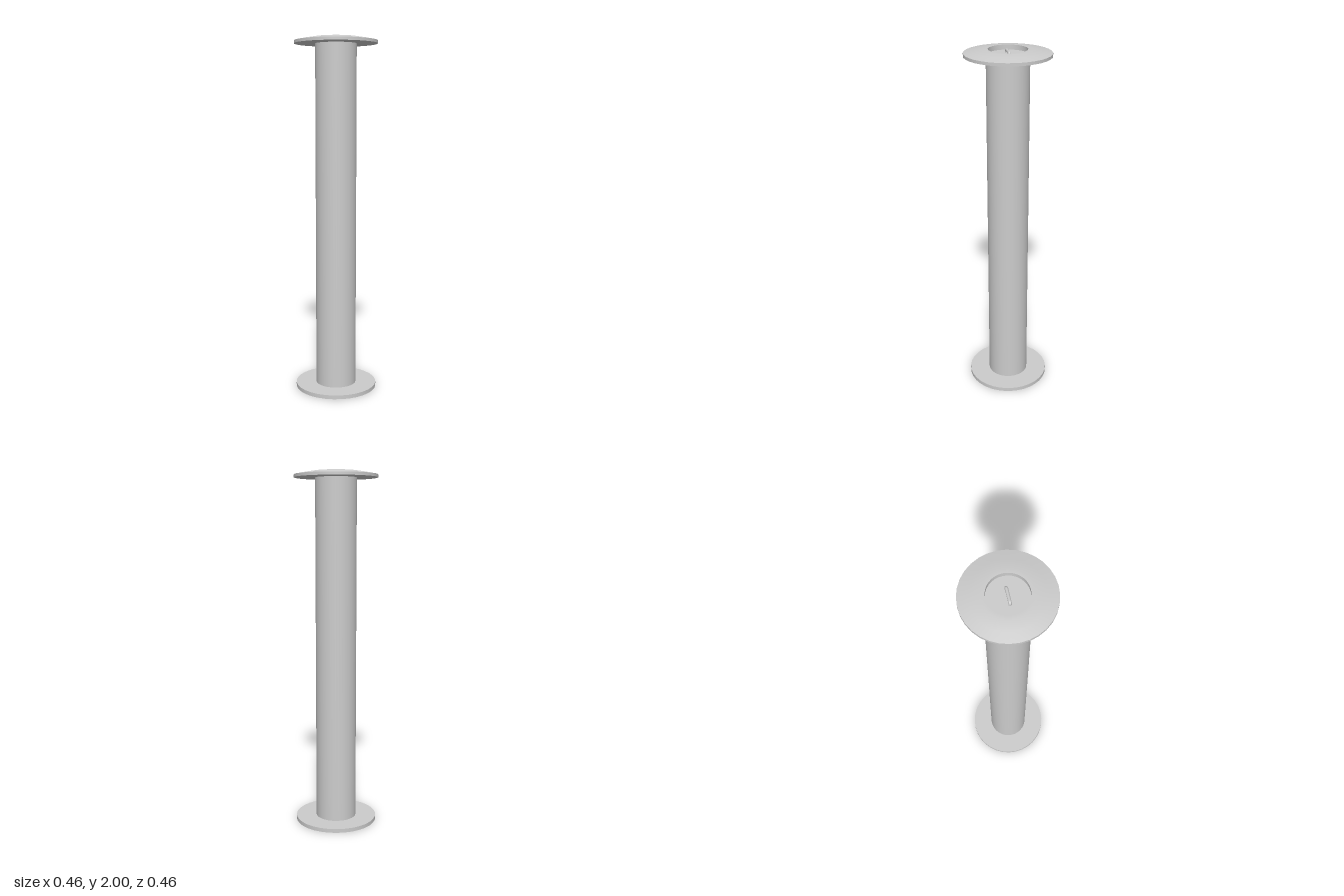
import * as THREE from 'three';
import { toCreasedNormals } from 'three/addons/utils/BufferGeometryUtils.js';

const material = new THREE.MeshStandardMaterial({ color: 0xcccccc, side: THREE.DoubleSide });

export function createModel() {
  const model = new THREE.Group();

  const add = (name, geometry) => {
    const mesh = new THREE.Mesh(geometry, material);
    mesh.name = name;
    model.add(mesh);
  };

  // Revolved part with crisp edges between its bands
  const lathe = (profile, sides = 32) => toCreasedNormals(
    new THREE.LatheGeometry(profile.map(([r, y]) => new THREE.Vector2(r, y)), sides), 0.25);

  // Base ring, open in the middle
  add('baseFlange', lathe([[0.115, 0], [0.232, 0], [0.232, 0.022], [0.115, 0.022], [0.115, 0]]));

  // Column, closed at the bottom just above the base opening
  add('column', lathe([[0, 0.021], [0.115, 0.021], [0.115, 1.966]], 48));

  // Domed cap with a round recess
  add('cap', lathe([
    [0.113, 1.965], [0.232, 1.965], [0.232, 1.981], [0.18, 1.991],
    [0.125, 2], [0.104, 2], [0.104, 1.974], [0, 1.974],
  ]));

  // Staple-shaped pull handle in the recess
  const path = new THREE.CurvePath();
  const v = (x, y) => new THREE.Vector3(x, y, 0);
  path.add(new THREE.LineCurve3(v(-0.04, 1.97), v(-0.04, 1.979)));
  path.add(new THREE.QuadraticBezierCurve3(v(-0.04, 1.979), v(-0.04, 1.988), v(-0.031, 1.988)));
  path.add(new THREE.LineCurve3(v(-0.031, 1.988), v(0.031, 1.988)));
  path.add(new THREE.QuadraticBezierCurve3(v(0.031, 1.988), v(0.04, 1.988), v(0.04, 1.979)));
  path.add(new THREE.LineCurve3(v(0.04, 1.979), v(0.04, 1.97)));
  add('handle', new THREE.TubeGeometry(path, 48, 0.008, 12));

  return model;
}
